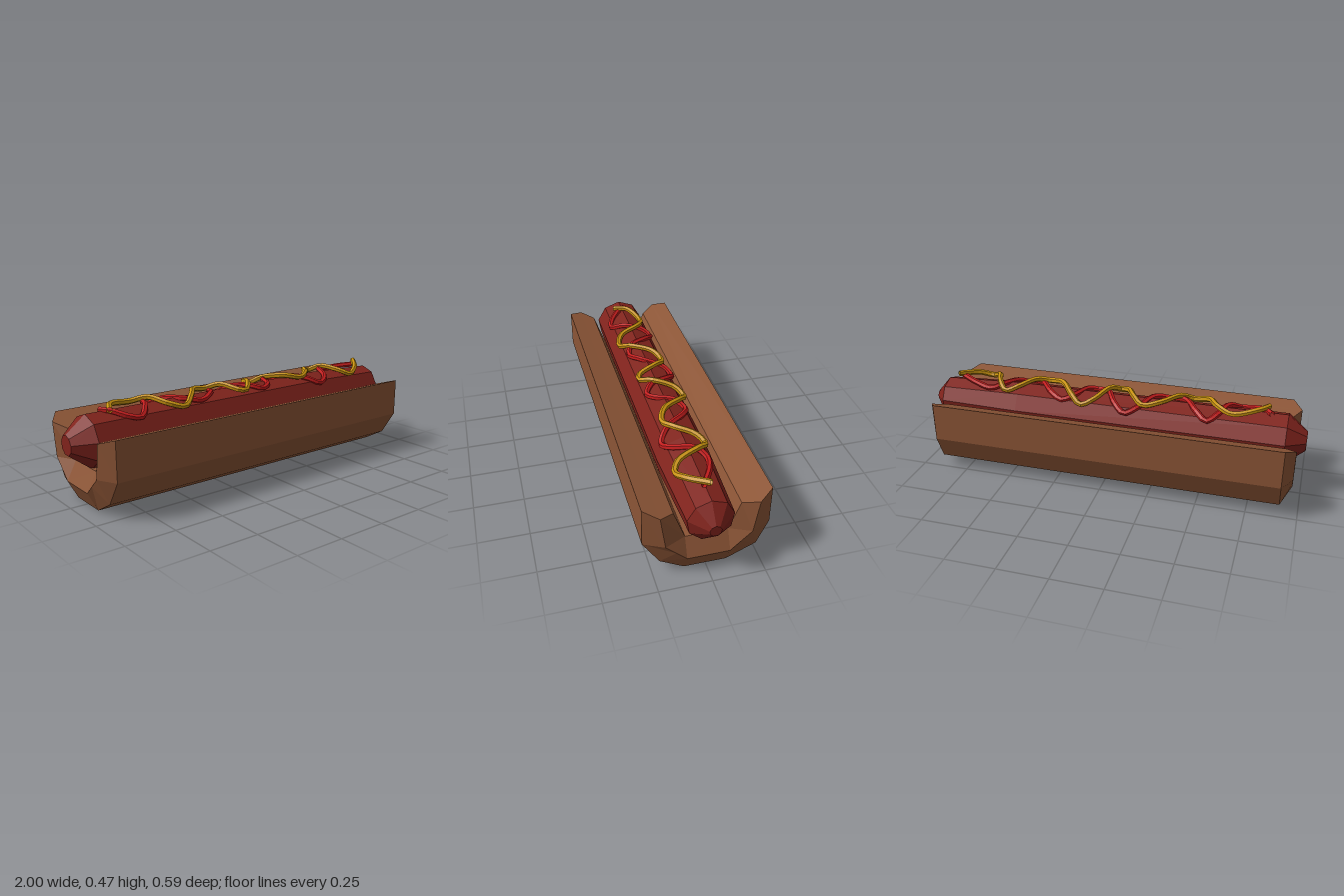
import * as THREE from 'three';

const paint = (color) => new THREE.MeshStandardMaterial({ color, flatShading: true, side: THREE.DoubleSide });

function add(group, name, geometry, color) {
  const mesh = new THREE.Mesh(geometry, paint(color));
  mesh.name = name;
  group.add(mesh);
}

// U-shaped bun: outer, middle and inner cross-sections as [z, y], from the front lip to the back lip
function bunGeometry() {
  const outer = [[0.295, 0.385], [0.295, 0.19], [0.215, 0.065], [0.1, 0],
    [-0.1, 0], [-0.24, 0.065], [-0.295, 0.19], [-0.295, 0.385]];
  const middle = [[0.225, 0.362], [0.2, 0.19], [0.15, 0.143], [0.1, 0.095],
    [-0.1, 0.095], [-0.15, 0.143], [-0.2, 0.19], [-0.225, 0.357]];
  const inner = [[0.155, 0.34], [0.1, 0.19], [0.1, 0.19], [0.1, 0.19],
    [-0.1, 0.19], [-0.1, 0.19], [-0.1, 0.19], [-0.155, 0.33]];
  // closed ring of lengthwise stations; the middle section bulges out at both ends
  const stations = [[-0.96, middle], [-0.91, outer], [0.885, outer],
    [0.93, middle], [0.885, inner], [-0.91, inner]]
    .map(([x, section]) => section.map(([z, y]) => new THREE.Vector3(x, y, z)));
  const points = [];
  const triangle = (a, b, c) => {
    if (new THREE.Triangle(a, b, c).getArea() > 1e-7) points.push(a, b, c);
  };
  const n = stations.length;
  const last = outer.length - 1;
  for (let i = 0; i < n; i++) {
    const s = stations[i];
    const t = stations[(i + 1) % n];
    for (let j = 0; j < last; j++) {
      triangle(s[j], s[j + 1], t[j + 1]);
      triangle(s[j], t[j + 1], t[j]);
    }
    // flat lips along the open top
    triangle(stations[0][0], s[0], t[0]);
    triangle(stations[0][last], t[last], s[last]);
  }
  const geometry = new THREE.BufferGeometry().setFromPoints(points);
  geometry.computeVertexNormals();
  return geometry;
}

// Nine-sided sausage with blunt tapered tips, lying along x
function sausageGeometry() {
  const profile = [[0, -1], [0.05, -1], [0.13, -0.9], [0.13, 0.5], [0.11, 0.93], [0.028, 1], [0, 1]]
    .map(([r, x]) => new THREE.Vector2(r, x));
  return new THREE.LatheGeometry(profile, 9, -Math.PI / 2)
    .rotateZ(-Math.PI / 2)
    .translate(0, 0.305, 0);
}

// Wavy sauce line through [x, z] points, draped over the sausage
function sauceGeometry(path, top) {
  const curve = new THREE.CatmullRomCurve3(
    path.map(([x, z]) => new THREE.Vector3(x, top - 4.3 * z * z, z)));
  return new THREE.TubeGeometry(curve, 90, 0.015, 6);
}

export function createModel() {
  const group = new THREE.Group();
  group.name = 'hotDog';

  add(group, 'bun', bunGeometry(), 0x8c5536);
  add(group, 'sausage', sausageGeometry(), 0x80231c);

  const ketchup = [[-0.82, -0.02], [-0.78, 0.03], [-0.72, 0.08], [-0.66, 0.095], [-0.6, 0.03],
    [-0.56, -0.06], [-0.51, -0.1], [-0.45, -0.06], [-0.38, 0.04], [-0.3, 0.07], [-0.22, 0.03],
    [-0.15, -0.08], [-0.09, -0.11], [-0.03, -0.07], [0.03, 0.03], [0.09, 0.07], [0.14, 0.05],
    [0.19, -0.05], [0.25, -0.085], [0.32, -0.05], [0.4, 0.05], [0.48, 0.1], [0.54, 0.07],
    [0.59, -0.03], [0.65, -0.07], [0.74, -0.05], [0.85, 0.01]];
  add(group, 'ketchup', sauceGeometry(ketchup, 0.439), 0xc01c1c);

  const mustard = [[-0.8, 0.05], [-0.76, -0.02], [-0.63, -0.07], [-0.55, -0.03], [-0.5, 0.07],
    [-0.42, 0.1], [-0.35, 0.05], [-0.27, -0.05], [-0.18, -0.08], [-0.12, -0.03], [-0.07, 0.07],
    [-0.03, 0.08], [0.02, 0.03], [0.08, -0.08], [0.14, -0.11], [0.2, -0.07], [0.28, 0.03],
    [0.36, 0.065], [0.43, 0.03], [0.5, -0.06], [0.56, -0.09], [0.61, -0.04], [0.66, 0.07],
    [0.71, 0.1], [0.78, 0.07], [0.86, -0.02]];
  add(group, 'mustard', sauceGeometry(mustard, 0.457), 0xc8920f);

  return group;
}
